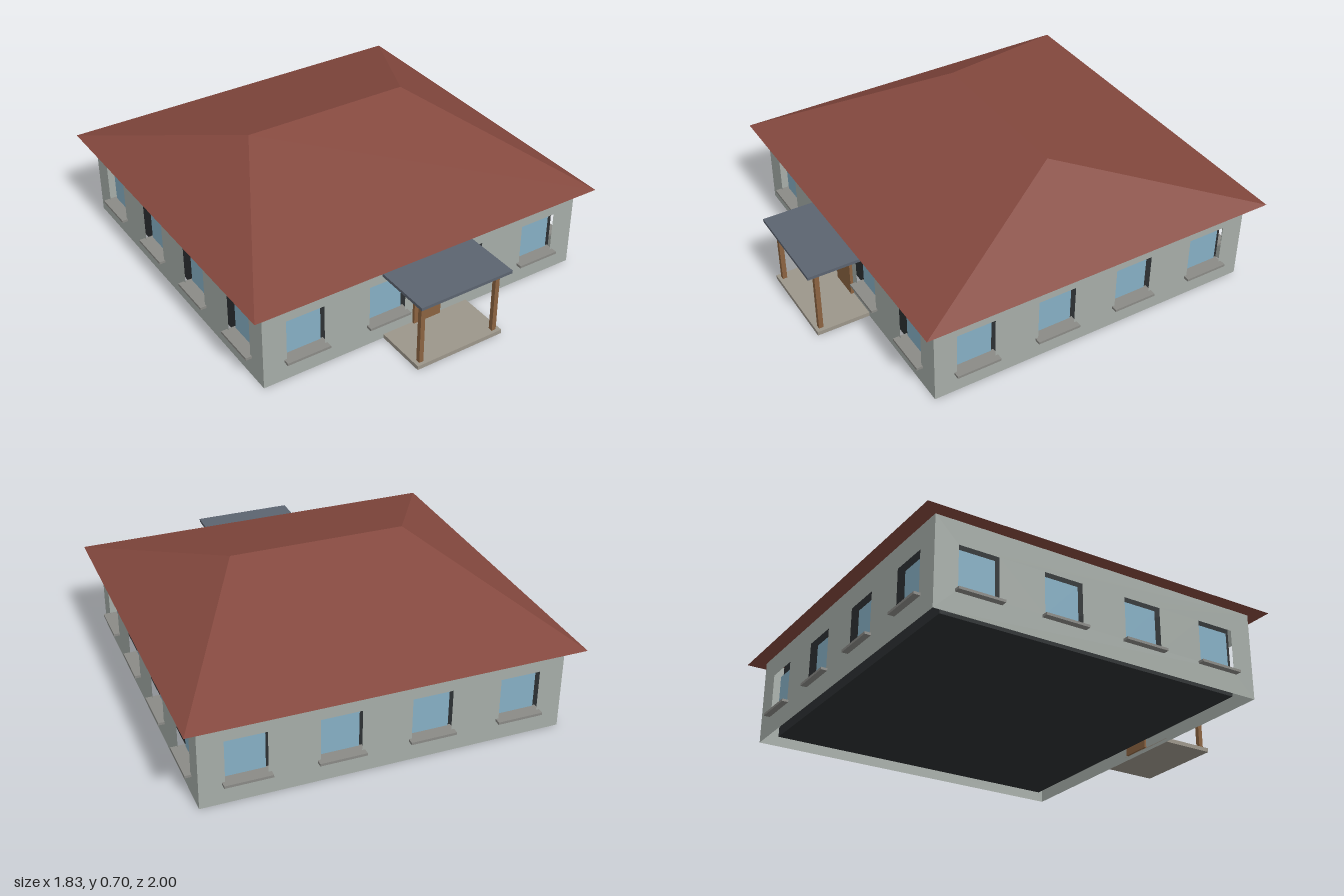
import * as THREE from 'three';
import { ConvexGeometry } from 'three/addons/geometries/ConvexGeometry.js';

const paint = (color, extra = {}) => {
  const m = new THREE.MeshStandardMaterial({ ...extra });
  m.color.set(color);
  return m;
};
const wallPaint = paint(0xa6ada8, { side: THREE.DoubleSide });
const roofPaint = paint(0x84483e, { flatShading: true });
const glassPaint = paint(0x86afc4);
const darkPaint = paint(0x2c3032);
const sillPaint = paint(0x8a8a86);
const stonePaint = paint(0x9c968a);
const woodPaint = paint(0x8b6340);
const canopyPaint = paint(0x5c6470);

const HALF_W = 0.845, HALF_D = 0.82, WALL_H = 0.42, MID_Z = -0.107;
const WIN_W = 0.19, WIN_Y0 = 0.108, WIN_Y1 = 0.31;

function box(name, material, w, h, d, x, y, z) {
  const m = new THREE.Mesh(new THREE.BoxGeometry(w, h, d), material);
  m.name = name;
  m.position.set(x, y, z);
  return m;
}

function rect(target, x0, y0, x1, y1) {
  target.moveTo(x0, y0).lineTo(x1, y0).lineTo(x1, y1).lineTo(x0, y1).closePath();
  return target;
}

// One wall facing +z with four evenly spaced recessed windows and sills
function wallSide(name, half) {
  const side = new THREE.Group();
  side.name = name;
  const shape = rect(new THREE.Shape(), -half, 0, half, WALL_H);
  const winH = WIN_Y1 - WIN_Y0, winY = (WIN_Y0 + WIN_Y1) / 2;
  for (let i = 0; i < 4; i++) {
    const x = (i - 1.5) * half / 2;
    shape.holes.push(rect(new THREE.Path(), x - WIN_W / 2, WIN_Y0, x + WIN_W / 2, WIN_Y1));
    side.add(box('windowPane', glassPaint, WIN_W, winH, 0.01, x, winY, -0.04));
    side.add(box('windowSill', sillPaint, 0.217, 0.012, 0.07, x, 0.103, -0.005));
  }
  const wall = new THREE.Mesh(new THREE.ShapeGeometry(shape), wallPaint);
  wall.name = 'wall';
  side.add(wall);
  return side;
}

export function createModel() {
  const house = new THREE.Group();
  house.name = 'house';

  // Four walls around a dark interior
  const body = new THREE.Group();
  body.name = 'body';
  body.position.z = MID_Z;
  ['frontWall', 'leftWall', 'backWall', 'rightWall'].forEach((name, i) => {
    const [half, dist] = i % 2 ? [HALF_D, HALF_W] : [HALF_W, HALF_D];
    const side = wallSide(name, half);
    const a = i * Math.PI / 2;
    side.rotation.y = a;
    side.position.set(Math.sin(a) * dist, 0, Math.cos(a) * dist);
    body.add(side);
  });
  body.add(box('interior', darkPaint, 2 * (HALF_W - 0.067), 0.39, 2 * (HALF_D - 0.067), 0, 0.217, 0));
  house.add(body);

  // Hipped roof: eaves rectangle rising to a ridge
  const points = [];
  for (const s of [-1, 1]) {
    points.push(new THREE.Vector3(s * 0.913, 0.418, -1), new THREE.Vector3(s * 0.913, 0.418, 0.78));
    points.push(new THREE.Vector3(s * 0.423, 0.703, -0.11));
  }
  const roof = new THREE.Mesh(new ConvexGeometry(points), roofPaint);
  roof.name = 'roof';
  house.add(roof);

  // Entrance: door, step, canopy and two posts
  const porch = new THREE.Group();
  porch.name = 'porch';
  porch.add(box('door', woodPaint, 0.145, 0.283, 0.025, 0, 0.162, 0.715));
  porch.add(box('porchFloor', stonePaint, 0.46, 0.02, 0.26, 0, 0.01, 0.843));
  porch.add(box('canopy', canopyPaint, 0.485, 0.015, 0.287, 0, 0.353, 0.8565));
  for (const s of [-1, 1]) porch.add(box('porchPost', woodPaint, 0.022, 0.326, 0.022, s * 0.2, 0.183, 0.946));
  house.add(porch);

  return house;
}
